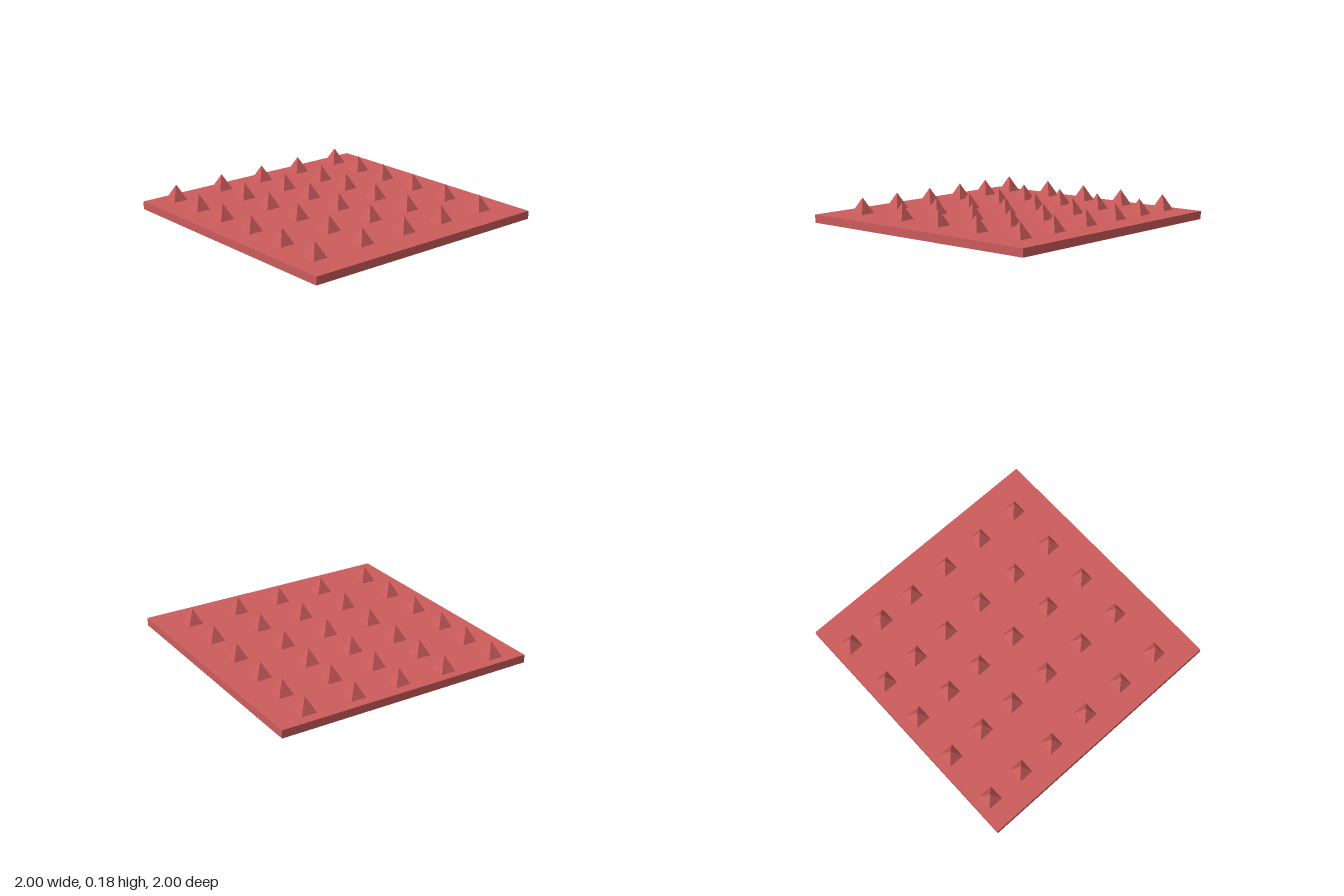
import * as THREE from 'three';

export function createModel() {
  const group = new THREE.Group();
  const red = new THREE.MeshStandardMaterial({ color: 0xcd5c5c });
  red.name = 'soft red';

  // Flat square base plate
  const thickness = 0.06;
  const plate = new THREE.Mesh(new THREE.BoxGeometry(2, thickness, 2), red);
  plate.name = 'basePlate';
  plate.position.y = thickness / 2;
  group.add(plate);

  // Four-sided spike with its base edges along x and z
  const width = 0.116, height = 0.116;
  const spikeGeometry = new THREE.ConeGeometry(width / Math.SQRT2, height, 4, 1)
    .rotateY(Math.PI / 4)
    .translate(0, height / 2, 0)
    .toNonIndexed();
  spikeGeometry.computeVertexNormals();

  // Rows of spikes; the two front rows sit slightly to one side
  const columns = [-0.866, -0.575, -0.281, 0.053, 0.398, 0.743];
  const rows = [
    { z: -0.747, shift: 0 },
    { z: -0.361, shift: 0 },
    { z: 0, shift: 0 },
    { z: 0.373, shift: -0.013 },
    { z: 0.787, shift: -0.013 },
  ];
  const spikes = new THREE.Group();
  spikes.name = 'spikes';
  for (const { z, shift } of rows) {
    for (const x of columns) {
      const spike = new THREE.Mesh(spikeGeometry, red);
      spike.name = 'spike';
      spike.position.set(x + shift, thickness, z);
      spikes.add(spike);
    }
  }
  group.add(spikes);
  return group;
}
